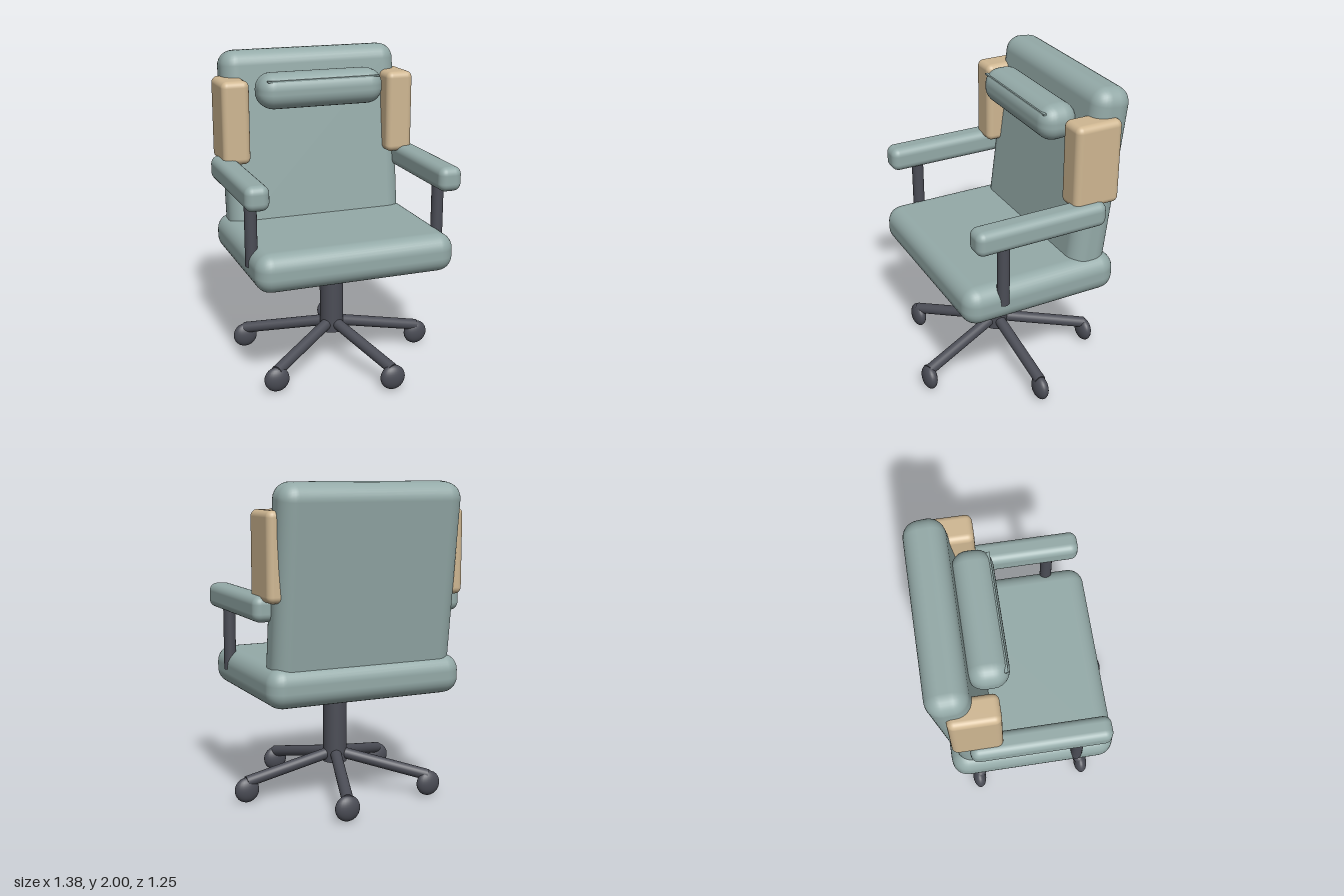
import * as THREE from 'three';
import { RoundedBoxGeometry } from 'three/addons/geometries/RoundedBoxGeometry.js';

export function createModel() {
  const chair = new THREE.Group();
  chair.name = 'officeChair';

  const material = (name, color) => {
    const m = new THREE.MeshStandardMaterial({ color });
    m.name = name;
    return m;
  };
  const upholstery = material('greyGreenUpholstery', 0x94aaa8);
  const tan = material('tanPadding', 0xcfb792);
  const metal = material('darkMetal', 0x4b4d56);

  const add = (name, geometry, mat, x, y, z) => {
    const mesh = new THREE.Mesh(geometry, mat);
    mesh.name = name;
    mesh.position.set(x, y, z);
    chair.add(mesh);
    return mesh;
  };
  const cushion = (name, mat, size, radius, x, y, z) =>
    add(name, new RoundedBoxGeometry(...size, 4, radius), mat, x, y, z);

  // Cylinder running between two points
  const rod = (name, from, to, radius) => {
    const dir = to.clone().sub(from);
    const mid = from.clone().add(to).multiplyScalar(0.5);
    const mesh = add(name, new THREE.CylinderGeometry(radius, radius, dir.length(), 24), metal, mid.x, mid.y, mid.z);
    mesh.quaternion.setFromUnitVectors(new THREE.Vector3(0, 1, 0), dir.normalize());
    return mesh;
  };

  // Seat and reclined back
  cushion('seat', upholstery, [1.28, 0.245, 1.03], 0.1, 0, 0.81, 0);
  const back = cushion('backrest', upholstery, [1.18, 1.2, 0.25], 0.1, 0, 1.403, -0.41);
  back.rotation.x = -0.122;

  // Head cushion with a thin seam along its upper front edge
  cushion('headrest', upholstery, [0.83, 0.225, 0.245], 0.1, 0, 1.768, -0.225);
  add('headrestSeam', new THREE.BoxGeometry(0.74, 0.01, 0.02), upholstery, 0, 1.84, -0.127);

  // Mirrored side wings, armrests and posts
  for (const [side, s] of [['left', 1], ['right', -1]]) {
    cushion(side + 'Wing', tan, [0.178, 0.53, 0.305], 0.04, s * 0.554, 1.577, -0.34);
    cushion(side + 'Armrest', upholstery, [0.15, 0.155, 0.855], 0.05, s * 0.615, 1.272, 0.037);
    rod(side + 'ArmPost', new THREE.Vector3(s * 0.613, 0.81, 0.27), new THREE.Vector3(s * 0.613, 1.22, 0.27), 0.038);
  }

  // Central column
  rod('column', new THREE.Vector3(0, 0.2, 0), new THREE.Vector3(0, 0.72, 0), 0.077);

  // Five-spoke base; every caster is flattened along z
  const casterGeometry = new THREE.SphereGeometry(0.08, 24, 16).scale(1, 1, 0.56);
  for (let i = 0; i < 5; i++) {
    const a = (i * Math.PI * 2) / 5;
    const x = Math.cos(a), z = Math.sin(a);
    rod('baseLeg' + (i + 1), new THREE.Vector3(0, 0.266, 0), new THREE.Vector3(x * 0.61, 0.134, z * 0.61), 0.036);
    add('caster' + (i + 1), casterGeometry, metal, x * 0.61, 0.081, z * 0.61);
  }

  return chair;
}
